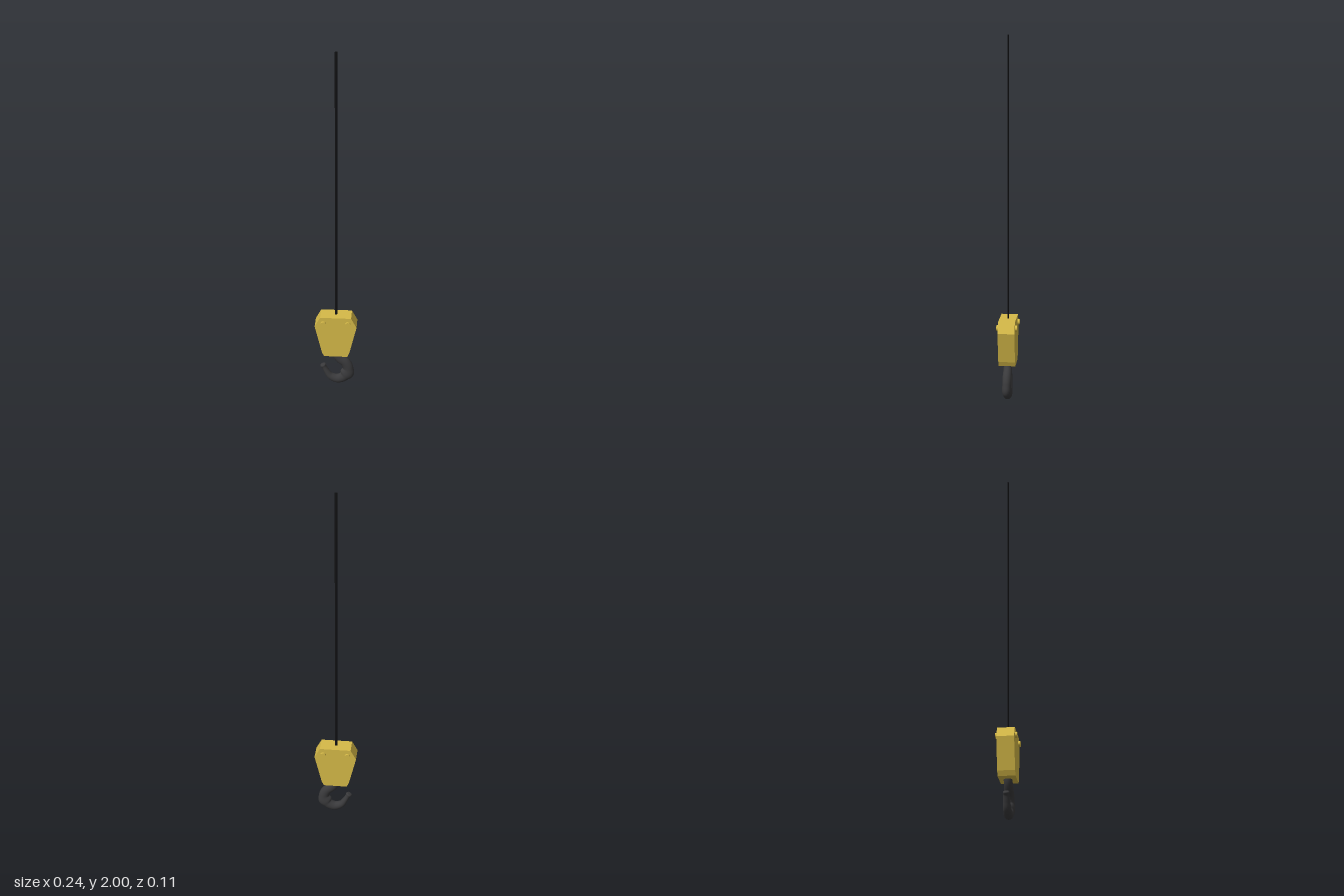
import * as THREE from 'three';

const yellow = new THREE.MeshStandardMaterial({ color: 0xd6ba48 });
const darkSteel = new THREE.MeshStandardMaterial({ color: 0x3a3a3c });
const black = new THREE.MeshStandardMaterial({ color: 0x111113 });

function addMesh(parent, name, geometry, material) {
  const mesh = new THREE.Mesh(geometry, material);
  mesh.name = name;
  parent.add(mesh);
  return mesh;
}

// Sweeps an elliptical section along a path in the XY plane.
// Each station is [x, y, radius in plane, radius along z].
function sweep(stations, steps, sides) {
  const path = new THREE.CatmullRomCurve3(stations.map(([x, y]) => new THREE.Vector3(x, y, 0)));
  const radii = new THREE.CatmullRomCurve3(stations.map(([, , a, b]) => new THREE.Vector3(a, b, 0)));
  const positions = [], index = [];
  for (let i = 0; i <= steps; i++) {
    const t = i / steps, p = path.getPoint(t), d = path.getTangent(t), r = radii.getPoint(t);
    for (let j = 0; j < sides; j++) {
      const angle = (j / sides) * Math.PI * 2;
      const c = Math.cos(angle) * r.x, s = Math.sin(angle) * r.y;
      positions.push(p.x - d.y * c, p.y + d.x * c, s);
      if (i < steps) {
        const a = i * sides + j, b = i * sides + (j + 1) % sides;
        index.push(a, b, a + sides, b, b + sides, a + sides);
      }
    }
  }
  // close both ends
  for (const [row, t] of [[0, 0], [steps, 1]]) {
    const p = path.getPoint(t), centre = positions.length / 3;
    positions.push(p.x, p.y, 0);
    for (let j = 0; j < sides; j++) {
      const a = row * sides + j, b = row * sides + (j + 1) % sides;
      if (row) index.push(centre, a, b); else index.push(centre, b, a);
    }
  }
  const geometry = new THREE.BufferGeometry();
  geometry.setAttribute('position', new THREE.Float32BufferAttribute(positions, 3));
  geometry.setIndex(index);
  geometry.computeVertexNormals();
  return geometry;
}

export function createModel() {
  const model = new THREE.Group();
  model.name = 'craneHook';

  // Tapered pulley block
  const half = [[0.066, 0.209], [0.078, 0.235], [0.118, 0.405], [0.087, 0.463]];
  const outline = [...half, ...half.map(([x, y]) => [-x, y]).reverse()];
  const block = new THREE.ExtrudeGeometry(
    new THREE.Shape(outline.map(([x, y]) => new THREE.Vector2(x, y))),
    { depth: 0.092, bevelEnabled: false });
  block.translate(0, 0, -0.046);
  addMesh(model, 'pulleyBlock', block, yellow);

  // Pins through the block, showing on both faces
  for (const side of [-1, 1]) {
    const pin = new THREE.CylinderGeometry(0.016, 0.016, 0.113, 20).rotateX(Math.PI / 2);
    addMesh(model, side > 0 ? 'leftPin' : 'rightPin', pin, yellow).position.set(side * 0.069, 0.425, 0);
  }

  // Hoisting cable, slightly flattened
  const cable = addMesh(model, 'cable', new THREE.CylinderGeometry(1, 1, 1.55, 12), black);
  cable.scale.set(0.007, 1, 0.0045);
  cable.position.y = 1.225;

  // Hook, from the shank round to the flared tip
  const hook = [
    [0.000, 0.235, 0.025, 0.023], [0.003, 0.200, 0.026, 0.023], [0.022, 0.170, 0.028, 0.024],
    [0.054, 0.142, 0.029, 0.025], [0.070, 0.100, 0.030, 0.025], [0.052, 0.052, 0.030, 0.025],
    [0.010, 0.031, 0.027, 0.024], [-0.032, 0.046, 0.021, 0.021], [-0.054, 0.078, 0.016, 0.018],
    [-0.068, 0.106, 0.014, 0.016], [-0.075, 0.119, 0.018, 0.017], [-0.078, 0.125, 0.014, 0.013],
  ];
  addMesh(model, 'hook', sweep(hook, 72, 20), darkSteel);

  return model;
}
